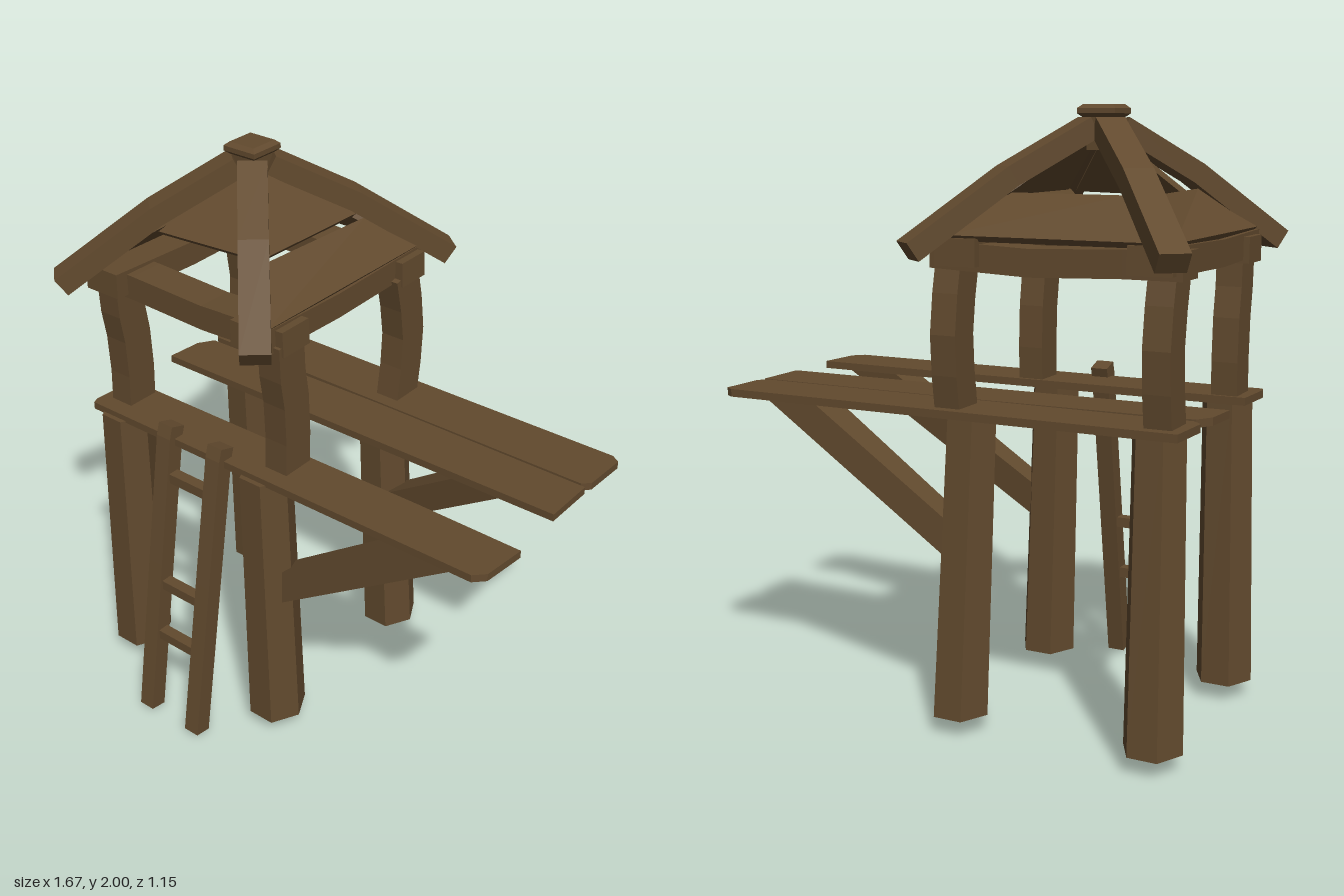
import * as THREE from 'three';

const wood = new THREE.MeshStandardMaterial({ color: 0x624a2e });
wood.name = 'brown wood';
const V = (x, y, z) => new THREE.Vector3(x, y, z);

// Solid with flat faces through a list of equal-length rings
function loft(name, rings) {
  const pos = [], n = rings[0].length, last = rings.length - 1;
  const tri = (...pts) => pts.forEach(p => pos.push(p.x, p.y, p.z));
  for (let i = 0; i < last; i++) {
    for (let j = 0; j < n; j++) {
      const k = (j + 1) % n;
      const [a, b, c, d] = [rings[i][j], rings[i][k], rings[i + 1][k], rings[i + 1][j]];
      tri(a, b, c);
      tri(a, c, d);
    }
  }
  for (let j = 1; j < n - 1; j++) {
    tri(rings[0][0], rings[0][j + 1], rings[0][j]);
    tri(rings[last][0], rings[last][j], rings[last][j + 1]);
  }
  const geo = new THREE.BufferGeometry();
  geo.setAttribute('position', new THREE.Float32BufferAttribute(pos, 3));
  geo.computeVertexNormals();
  const mesh = new THREE.Mesh(geo, wood);
  mesh.name = name;
  return mesh;
}

// Rectangular timber swept along points; w is measured along side
function timber(name, pts, side, w, h) {
  return loft(name, pts.map((p, i) => {
    const dir = pts[Math.min(i + 1, pts.length - 1)].clone().sub(pts[Math.max(i - 1, 0)]).normalize();
    const up = dir.cross(side).normalize();
    return [[-1, -1], [1, -1], [1, 1], [-1, 1]].map(([s, u]) =>
      p.clone().addScaledVector(side, s * w / 2).addScaledVector(up, u * h / 2));
  }));
}

// Flat board: outline is counter-clockwise seen from outside, thickness goes inward
function board(name, outline, t) {
  const n = outline[1].clone().sub(outline[0]).cross(outline[2].clone().sub(outline[0])).normalize();
  return loft(name, [outline.map(p => p.clone().addScaledVector(n, -t)), outline]);
}

export function createModel() {
  const g = new THREE.Group();
  g.name = 'watchtower';
  const X = V(1, 0, 0), Z = V(0, 0, 1);

  // Six-sided legs, leaning slightly inward
  const hexRing = (x, y, z, r) => Array.from({ length: 6 }, (_, i) =>
    V(x + r * Math.cos(i * Math.PI / 3), y, z - r * 1.1 * Math.sin(i * Math.PI / 3)));
  for (const [bx, tx] of [[-0.705, -0.69], [-0.035, -0.06]]) {
    for (const [bz, tz] of [[0.305, 0.3], [-0.37, -0.33]]) {
      g.add(loft('leg', [hexRing(bx, 0.06, bz, 0.098), hexRing(tx, 1.05, tz, 0.086)]));
    }
  }

  // Platform planks with worn ends
  const planks = [
    [[-0.79, 0.365], [-0.8, 0.34], [-0.79, 0.175], [0.45, 0.17], [0.83, 0.175], [0.815, 0.33], [0.78, 0.365]],
    [[-0.81, -0.04], [-0.8, -0.17], [-0.765, -0.225], [0, -0.24], [0.81, -0.235], [0.81, -0.045]],
    [[-0.77, -0.25], [-0.8, -0.28], [-0.79, -0.45], [0.79, -0.45], [0.82, -0.43], [0.815, -0.27], [0.79, -0.245]],
  ];
  for (const p of planks) {
    const outline = p.map(([x, z]) => V(x, 1.07, z)).reverse();
    // keep the top face upward
    const a = outline.reduce((s, q, i) => {
      const r = outline[(i + 1) % outline.length];
      return s + q.z * r.x - r.z * q.x;
    }, 0);
    g.add(board('platformPlank', a > 0 ? outline : outline.reverse(), 0.026));
  }

  // Diagonal braces under the overhang
  const profile = [[0, 0.555], [0.02, 0.57], [0.74, 1.048], [0.55, 1.048], [0, 0.68]];
  for (const [low, high] of [[0.295, 0.255], [-0.325, -0.295]]) {
    const ring = s => profile.map(([x, y]) => {
      const t = (y - 0.56) / 0.49;
      return V(x, y, low + (high - low) * t + s * (0.042 + 0.022 * t));
    });
    g.add(loft('brace', [ring(-1), ring(1)]));
  }

  // Bent roof posts
  for (const x of [-0.715, -0.015]) {
    g.add(timber('frontPost', [[1.06, 0.245], [1.18, 0.24], [1.32, 0.245], [1.42, 0.26], [1.54, 0.265]]
      .map(([y, z]) => V(x, y, z)), X, 0.088, 0.118));
    g.add(timber('backPost', [[1.06, -0.352], [1.18, -0.37], [1.3, -0.378], [1.42, -0.362], [1.54, -0.335]]
      .map(([y, z]) => V(x, y, z)), X, 0.088, 0.118));
  }

  // Eave beams, sagging a little in the middle
  for (const z of [0.25, -0.36]) {
    g.add(timber('crossBeam', [V(-0.785, 1.545, z), V(-0.6, 1.545, z), V(-0.3, 1.535, z), V(0.035, 1.55, z)], Z, 0.125, 0.085));
  }
  for (const x of [-0.695, -0.065]) {
    g.add(timber('sideBeam', [V(x, 1.56, 0.36), V(x, 1.55, 0), V(x, 1.56, -0.45)], X, 0.14, 0.085));
  }

  // Hip rafters
  const ax = -0.37, az = -0.03;
  for (const [cx, cz] of [[-0.79, 0.45], [0.045, 0.45], [0.05, -0.53], [-0.795, -0.53]]) {
    const side = V(-(cz - az), 0, cx - ax).normalize();
    const pts = [[0.08, 1.93], [0.5, 1.785], [1, 1.565]]
      .map(([t, y]) => V(ax + (cx - ax) * t, y, az + (cz - az) * t));
    g.add(timber('rafter', pts, side, 0.095, 0.068));
  }

  // Roof boards: three lower strips and two upper triangles
  g.add(board('leftRoofBoard', [V(-0.76, 1.61, -0.42), V(-0.76, 1.61, 0.36), V(-0.6, 1.735, 0.21), V(-0.635, 1.735, -0.28)], 0.025));
  g.add(board('rightRoofBoard', [V(0.01, 1.61, 0.36), V(0.01, 1.61, -0.42), V(-0.11, 1.725, -0.28), V(-0.14, 1.725, 0.23)], 0.025));
  g.add(board('backRoofBoard', [V(-0.03, 1.61, -0.44), V(-0.72, 1.61, -0.44), V(-0.56, 1.735, -0.31), V(-0.18, 1.735, -0.29)], 0.025));
  g.add(board('frontRoofPanel', [V(-0.56, 1.725, 0.22), V(-0.18, 1.735, 0.2), V(-0.37, 1.93, 0)], 0.022));
  g.add(board('rightRoofPanel', [V(-0.14, 1.74, 0.18), V(-0.13, 1.74, -0.26), V(-0.35, 1.94, -0.03)], 0.022));

  // Roof peak: king post and bevelled cap
  const square = (y, r) => [[-r, r], [r, r], [r, -r], [-r, -r]].map(([x, z]) => V(ax + x, y, az + z));
  g.add(loft('kingPost', [square(1.86, 0.04), square(1.965, 0.045)]));
  g.add(loft('roofCap', [square(1.96, 0.05), square(1.972, 0.064), square(1.988, 0.064), square(2, 0.05)]));

  // Ladder
  const ladder = new THREE.Group();
  ladder.name = 'ladder';
  for (const x of [-0.435, -0.215]) {
    ladder.add(timber('ladderRail', [V(x, 0.006, 0.543), V(x, 0.6, 0.44), V(x, 1.07, 0.358), V(x, 1.11, 0.345)], X, 0.06, 0.06));
  }
  for (const y of [0.93, 0.52, 0.32]) {
    const z = 0.543 - y * 0.173;
    ladder.add(timber('ladderRung', [V(-0.42, y, z), V(-0.23, y, z)], Z, 0.04, 0.036));
  }
  g.add(ladder);
  return g;
}
